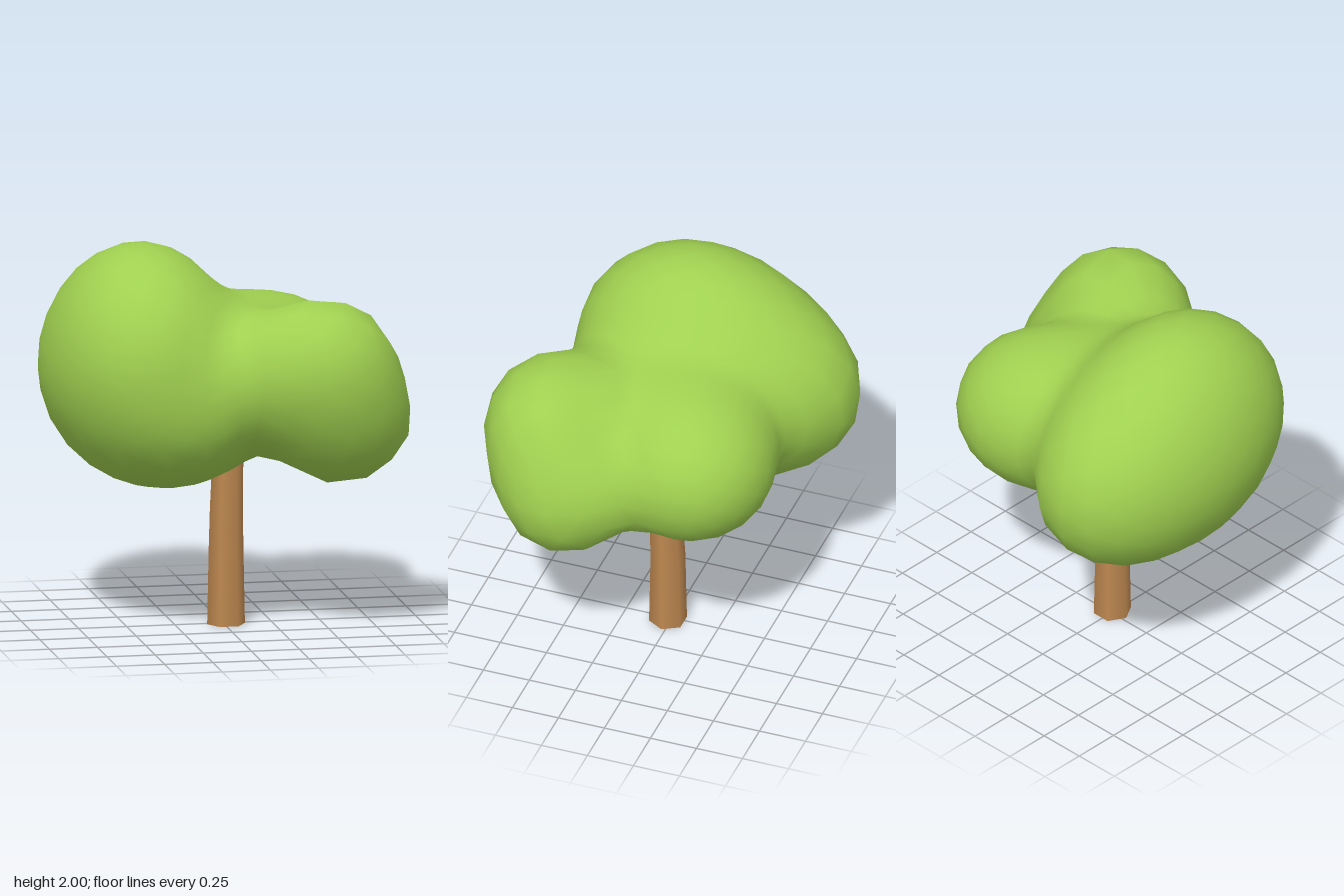
import * as THREE from 'three';
import { mergeVertices } from 'three/addons/utils/BufferGeometryUtils.js';

// Leaf clumps: centre and radii of each ellipsoid
const clumps = [
  { c: [-0.43, 1.41, 0.03], r: [0.48, 0.585, 0.62] }, // large right clump, upper front
  { c: [-0.43, 1.29, -0.23], r: [0.45, 0.52, 0.62] }, // large right clump, lower back
  { c: [-0.25, 1.16, 0.09], r: [0.44, 0.4, 0.51] }, // large right clump, underside
  { c: [0.04, 1.32, 0.06], r: [0.42, 0.37, 0.55] }, // core that fills the hollows
  { c: [0.29, 1.26, -0.21], r: [0.44, 0.4, 0.435] }, // back left clump
  { c: [0.41, 1.39, 0.49], r: [0.39, 0.375, 0.355] }, // front left clump, upper end
  { c: [0.53, 1.13, 0.37], r: [0.37, 0.345, 0.36] }, // front left clump, lower end
].map(({ c, r }) => ({ c: new THREE.Vector3(...c), r: new THREE.Vector3(...r) }));

const BLEND = 0.18;

function ellipsoidDistance(p, { c, r }) {
  const q = p.clone().sub(c).divide(r);
  const k0 = q.length();
  const k1 = q.divide(r).length();
  return k1 < 1e-6 ? -Math.min(r.x, r.y, r.z) : (k0 * (k0 - 1)) / k1;
}

// Smooth union of all clumps
function crownDistance(p) {
  return clumps.map((e) => ellipsoidDistance(p, e)).reduce((a, b) => {
    const h = Math.max(BLEND - Math.abs(a - b), 0) / BLEND;
    return Math.min(a, b) - (h * h * BLEND) / 4;
  });
}

// Crown: a sphere whose vertices are pushed out to the blended clump surface
function makeCrown() {
  let geo = new THREE.IcosahedronGeometry(1, 6);
  geo.deleteAttribute('normal');
  geo.deleteAttribute('uv');
  geo = mergeVertices(geo, 1e-4);
  const core = new THREE.Vector3(-0.02, 1.32, 0.02);
  const pos = geo.attributes.position;
  const dir = new THREE.Vector3();
  const p = new THREE.Vector3();
  for (let i = 0; i < pos.count; i++) {
    dir.fromBufferAttribute(pos, i).normalize();
    let t = 1.6;
    let step = 0;
    // March inwards to the outer surface
    do {
      p.copy(core).addScaledVector(dir, t);
      step = crownDistance(p);
      t -= Math.max(step * 0.6, 0.0005);
    } while (step > 0.001 && t > 0.05);
    pos.setXYZ(i, p.x, p.y, p.z);
  }
  geo.computeVertexNormals();
  const crown = new THREE.Mesh(geo, new THREE.MeshStandardMaterial({ color: 0xa0d050 }));
  crown.name = 'crown';
  return crown;
}

// Trunk: a six-sided tapering column that leans forward near the top
function makeTrunk() {
  const height = 1;
  const geo = new THREE.CylinderGeometry(0.078, 0.098, height, 6, 5);
  geo.rotateY(Math.PI / 2);
  geo.translate(0, height / 2, 0);
  const pos = geo.attributes.position;
  for (let i = 0; i < pos.count; i++) {
    const lean = Math.max(pos.getY(i) - 0.4, 0);
    pos.setX(i, pos.getX(i) + 0.012);
    pos.setZ(i, pos.getZ(i) + 0.02 + lean * lean * 0.22);
  }
  const trunk = new THREE.Mesh(geo, new THREE.MeshStandardMaterial({ color: 0xbe8850 }));
  trunk.name = 'trunk';
  return trunk;
}

export function createModel() {
  const tree = new THREE.Group();
  tree.name = 'tree';
  tree.add(makeTrunk(), makeCrown());
  return tree;
}
